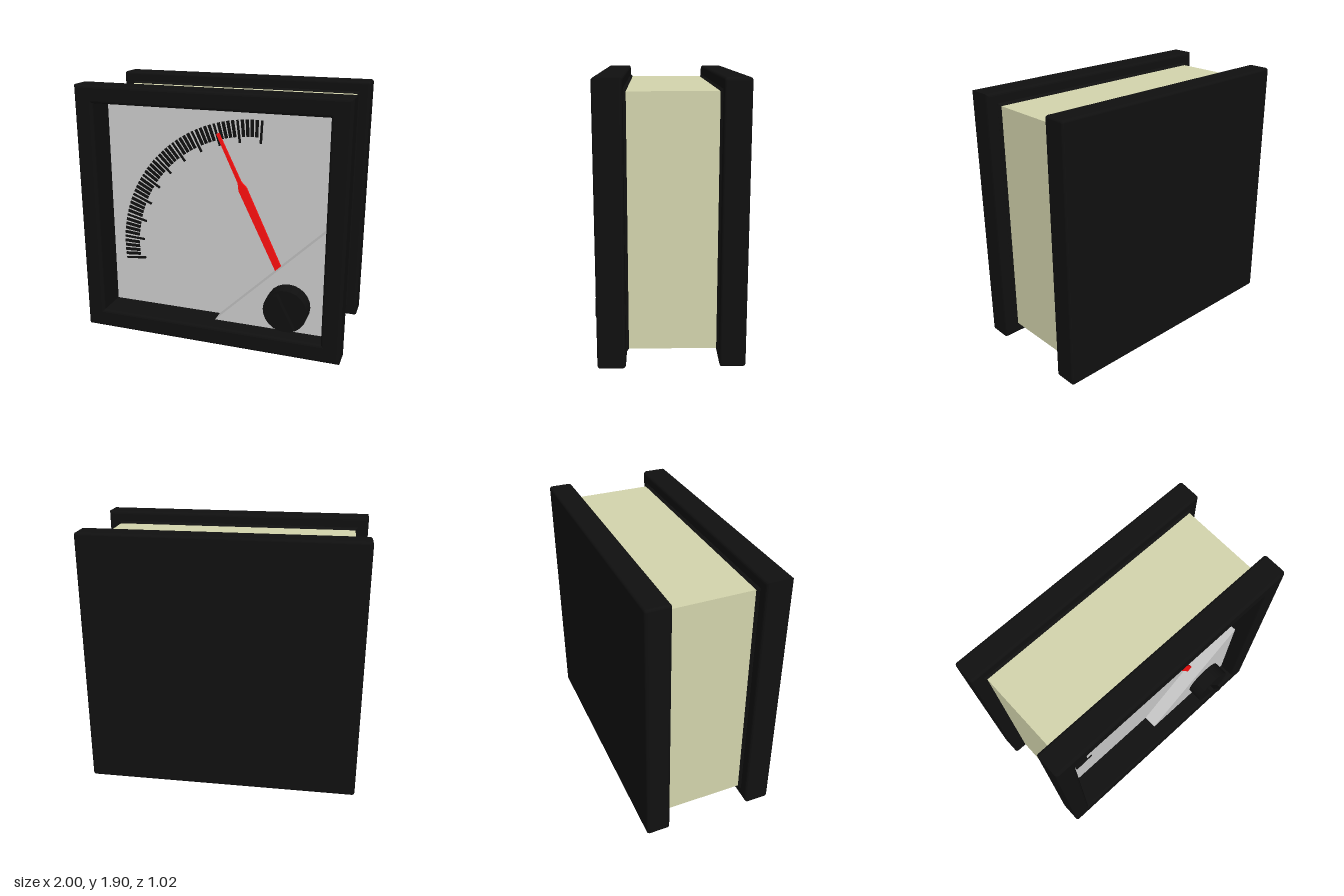
import * as THREE from 'three';
import { RoundedBoxGeometry } from 'three/addons/geometries/RoundedBoxGeometry.js';

const mat = (color) => new THREE.MeshStandardMaterial({ color });
const black = mat(0x101010), beige = mat(0xd4d5ad), grey = mat(0xcccccc), red = mat(0xff1010);

// Rectangle path from its limits
function rect(x0, y0, x1, y1, Type = THREE.Shape) {
  return new Type([[x0, y0], [x1, y0], [x1, y1], [x0, y1]].map(([x, y]) => new THREE.Vector2(x, y)));
}

// Shape extruded from z0 to z1, with an optional rounded edge
function slab(shape, z0, z1, bevel = 0, bevelSegments = 3) {
  const geo = new THREE.ExtrudeGeometry(shape, {
    depth: z1 - z0 - 2 * bevel, curveSegments: 12, bevelEnabled: bevel > 0,
    bevelSize: bevel, bevelThickness: bevel, bevelSegments,
  });
  return geo.translate(0, 0, z0 + bevel);
}

export function createModel() {
  const model = new THREE.Group();
  const add = (name, geo, material, parent = model) => {
    const mesh = new THREE.Mesh(geo, material);
    mesh.name = name;
    parent.add(mesh);
    return mesh;
  };

  // Back plate
  add('backPlate', new RoundedBoxGeometry(2, 1.9, 0.175, 3, 0.02), black).position.set(0, 0.95, -0.4175);

  // Body shell between the plates
  const shell = rect(-0.905, 0.095, 0.905, 1.81);
  shell.holes.push(rect(-0.875, 0.125, 0.875, 1.785, THREE.Path));
  add('body', slab(shell, -0.34, 0.3), beige);

  // Small flared collars where the body meets the plates
  for (const [name, z] of [['backCollar', -0.333], ['frontCollar', 0.29]]) {
    const ring = rect(-0.905, 0.095, 0.905, 1.81);
    ring.holes.push(rect(-0.89, 0.11, 0.89, 1.795, THREE.Path));
    add(name, slab(ring, z - 0.018, z + 0.018, 0.017, 1), black);
  }

  // Front frame with rounded edges
  const b = 0.02;
  const frame = rect(-1 + b, b, 1 - b, 1.9 - b);
  frame.holes.push(rect(-0.86 - b, 0.14 - b, 0.86 + b, 1.77 + b, THREE.Path));
  add('frontFrame', slab(frame, 0.29, 0.48, b), black);

  // Black lining of the recess
  const liner = rect(-0.875, 0.125, 0.875, 1.785);
  liner.holes.push(rect(-0.86, 0.14, 0.86, 1.77, THREE.Path));
  add('recessLining', slab(liner, 0.2, 0.32), black);

  // Dial face and raised corner panel
  add('dialFace', slab(rect(-0.87, 0.13, 0.87, 1.78), 0.2, 0.24), grey);
  const corner = new THREE.Shape();
  corner.moveTo(0.02, 0.14).lineTo(0.86, 0.14).lineTo(0.86, 0.96).closePath();
  add('cornerPanel', slab(corner, 0.23, 0.35), grey);

  // Scale: fifty divisions, every fifth mark longer and thinner
  const scale = new THREE.Group();
  scale.name = 'scale';
  scale.position.set(0.284, 0.631, 0.244);
  model.add(scale);
  const outer = 1.05;
  for (let i = 0; i <= 50; i++) {
    const major = i % 5 === 0;
    const inner = major ? 0.885 : 0.928;
    const angle = THREE.MathUtils.degToRad(186.6 - (i / 50) * 99.6);
    const geo = new THREE.BoxGeometry(outer - inner, major ? 0.016 : 0.022, 0.008);
    geo.translate((outer + inner) / 2, 0, 0);
    add(major ? 'majorMark' : 'minorMark', geo, black, scale).rotation.z = angle;
  }

  // Needle: broad stem, pointed shoulder and thin tip, drawn along +y
  const needle = new THREE.Shape([
    [-0.026, -0.02], [0.026, -0.02], [0.032, 0.64], [0.013, 0.695], [0.01, 1.08],
    [-0.01, 1.08], [-0.013, 0.695], [-0.032, 0.64],
  ].map(([x, y]) => new THREE.Vector2(x, y)));
  const pointer = add('needle', slab(needle, 0, 0.02), red);
  pointer.position.set(0.48, 0.595, 0.25);
  pointer.rotation.z = Math.atan2(0.465, 0.975);

  // Adjusting knob with its slanted grip
  const knob = new THREE.Group();
  knob.name = 'knob';
  knob.position.set(0.59, 0.355, 0);
  model.add(knob);
  const disc = new THREE.CylinderGeometry(0.162, 0.162, 0.13, 24).rotateX(Math.PI / 2);
  add('knobDisc', disc, black, knob).position.z = 0.405;
  const grip = add('knobGrip', new THREE.BoxGeometry(0.03, 0.29, 0.07), black, knob);
  grip.position.z = 0.477;
  grip.rotation.z = THREE.MathUtils.degToRad(27);

  return model;
}
